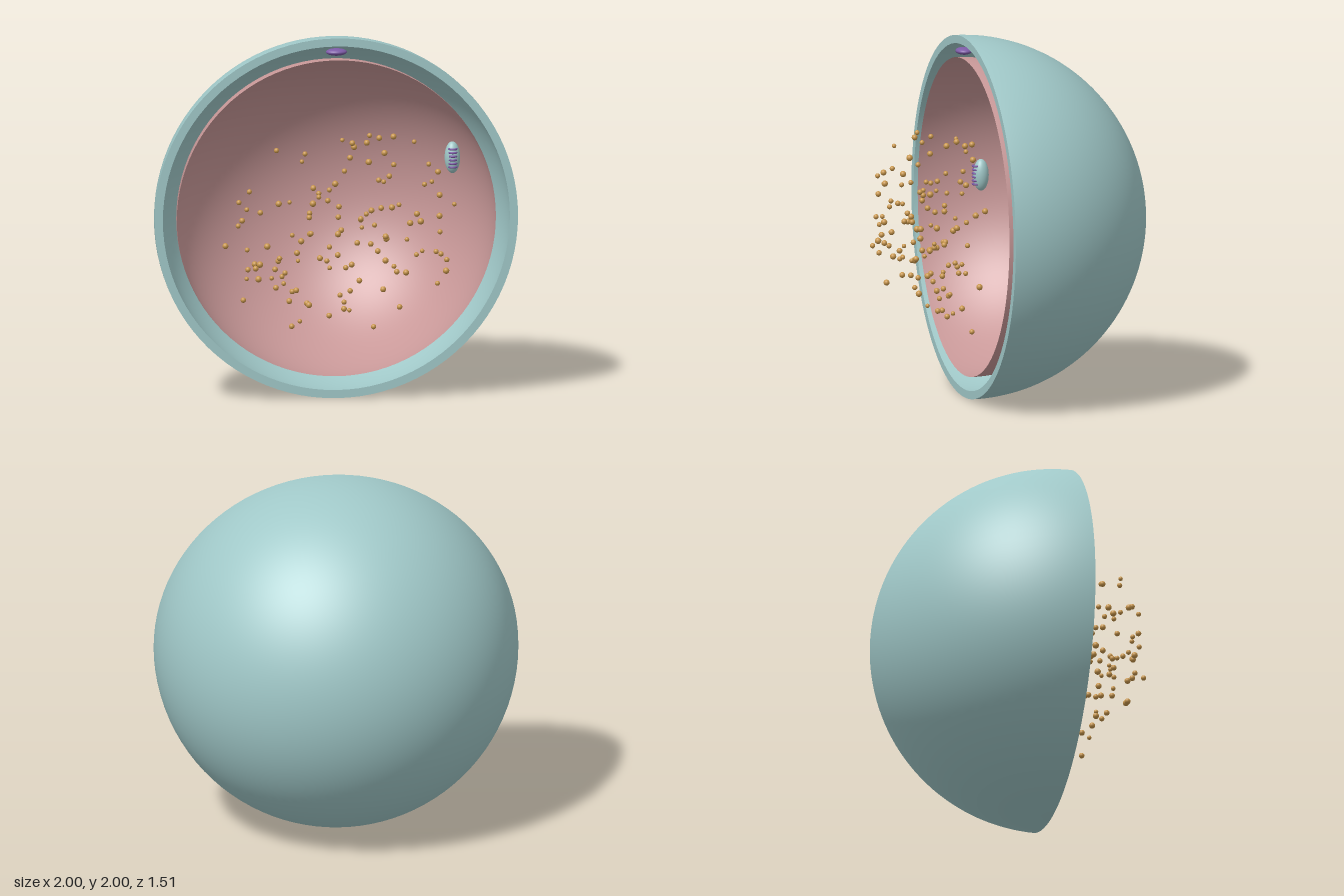
import * as THREE from 'three';

const mat = (color, side = THREE.FrontSide) => new THREE.MeshStandardMaterial({ color, side });

function add(parent, name, geometry, material) {
  const mesh = new THREE.Mesh(geometry, material);
  mesh.name = name;
  parent.add(mesh);
  return mesh;
}

// Back half of a sphere, open towards +z
const bowl = (radius) =>
  new THREE.SphereGeometry(radius, 96, 40, 0, Math.PI * 2, Math.PI / 2, Math.PI / 2).rotateX(Math.PI / 2);

function seeded(seed) {
  return () => {
    seed = (seed * 1664525 + 1013904223) % 4294967296;
    return seed / 4294967296;
  };
}

export function createModel() {
  const model = new THREE.Group();
  model.name = 'cutawayCell';

  // Everything is laid out around the centre of the cut plane
  const cell = new THREE.Group();
  cell.name = 'cell';
  cell.position.set(0, 1, 0.235);
  model.add(cell);

  const teal = 0xa0c8c8;
  const purple = mat(0x7d5ba6);

  // Thick outer wall: outside, inside and flat cut rim
  const wall = new THREE.Group();
  wall.name = 'outerWall';
  cell.add(wall);
  add(wall, 'wallOutside', bowl(1), mat(teal));
  add(wall, 'wallInside', bowl(0.955), mat(teal, THREE.BackSide));
  add(wall, 'wallRim', new THREE.RingGeometry(0.955, 1, 96), mat(teal));

  // Thin inner membrane, separated from the wall by a gap
  add(cell, 'innerMembrane', bowl(0.878), mat(0xc89898, THREE.DoubleSide));

  // Flattened body in the gap at the top
  const gapBody = add(cell, 'gapBody', new THREE.SphereGeometry(1, 32, 20), purple);
  gapBody.position.set(0, 0.925, 0);
  gapBody.scale.set(0.058, 0.02, 0.044);

  // Upright oval organelle with a stack of folds on its front
  const organelle = new THREE.Group();
  organelle.name = 'organelle';
  organelle.position.set(0.63, 0.345, 0.089);
  cell.add(organelle);
  add(organelle, 'organelleBody', new THREE.SphereGeometry(1, 32, 24), mat(teal)).scale.set(0.043, 0.088, 0.043);
  const foldGeometry = new THREE.TorusGeometry(0.02, 0.006, 8, 20).rotateX(Math.PI / 2);
  for (let i = 0; i < 6; i++) {
    add(organelle, 'fold', foldGeometry, purple).position.set(0, (i - 2.5) * 0.02, 0.026);
  }

  // Small beads scattered through the front half of a flattened ball
  const beads = new THREE.Group();
  beads.name = 'beads';
  cell.add(beads);
  const beadGeometry = new THREE.SphereGeometry(1, 14, 10);
  const beadMaterial = mat(0xc8964b);
  const random = seeded(11);
  const p = new THREE.Vector3();
  while (beads.children.length < 125) {
    p.set(random() * 2 - 1, random() * 2 - 1, random());
    if (p.length() > 1) continue;
    p.multiply(new THREE.Vector3(0.72, 0.66, 0.53));
    if (beads.children.some((b) => b.position.distanceTo(p) < 0.045)) continue;
    const bead = add(beads, 'bead', beadGeometry, beadMaterial);
    bead.position.copy(p);
    bead.scale.setScalar(0.012 + random() * 0.006);
  }

  return model;
}
